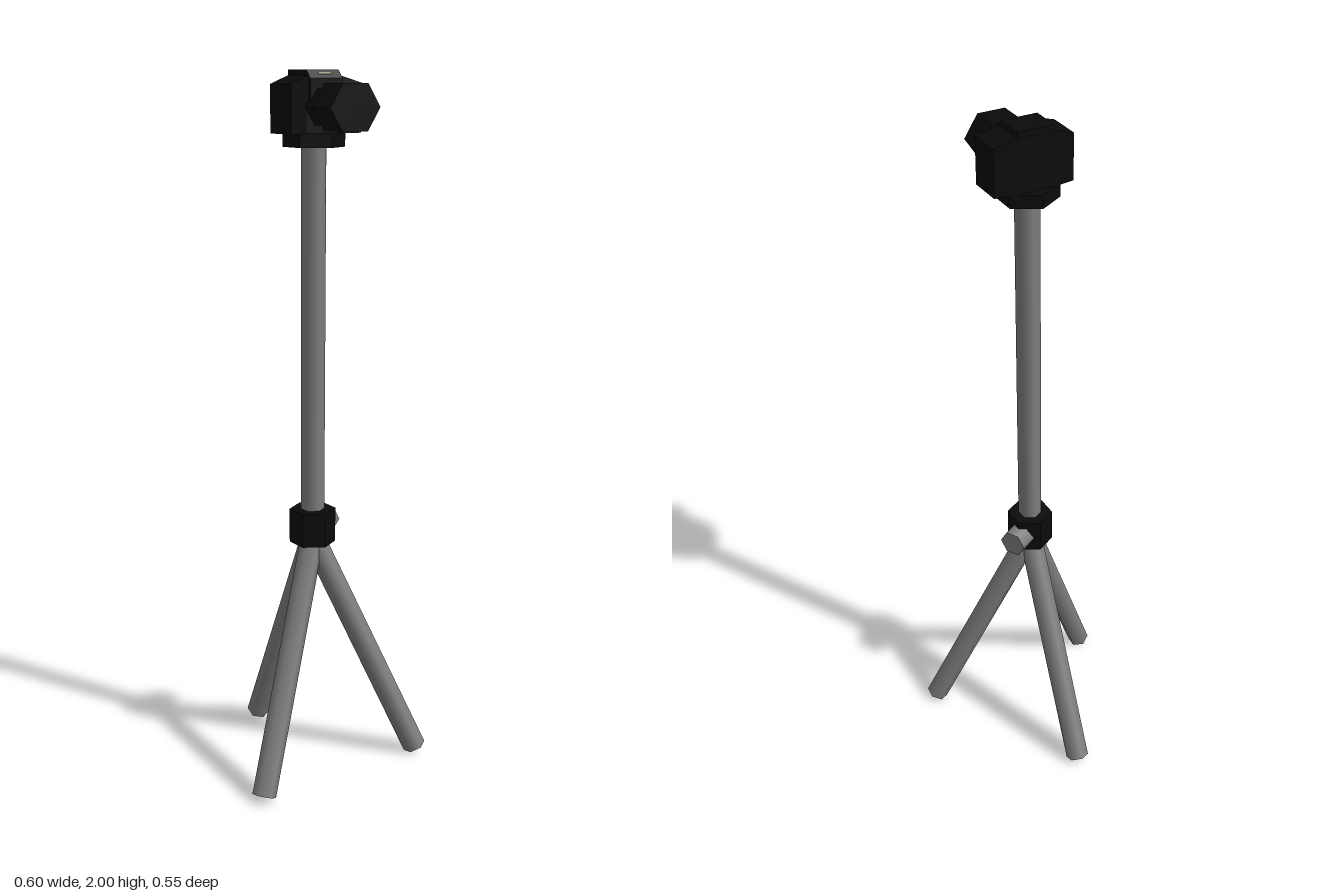
import * as THREE from 'three';

const metal = new THREE.MeshStandardMaterial({ color: 0x808080 });
const black = new THREE.MeshStandardMaterial({ color: 0x0b0b0b, flatShading: true });
const pale = new THREE.MeshStandardMaterial({ color: 0xf0f0c8, flatShading: true });

function add(parent, name, geometry, material, x = 0, y = 0, z = 0) {
  const mesh = new THREE.Mesh(geometry, material);
  mesh.name = name;
  mesh.position.set(x, y, z);
  parent.add(mesh);
  return mesh;
}

// Six-sided cylinder with corners pointing along z
const hex = (r, h) => new THREE.CylinderGeometry(r, r, h, 6);

// Solid lofted along x through rectangular sections [x, zBack, zFront, yBottom, yTop]
function loft(sections) {
  const pos = [];
  const index = [];
  for (const [x, zb, zf, y0, y1] of sections) {
    pos.push(x, y0, zb, x, y0, zf, x, y1, zf, x, y1, zb);
  }
  for (let s = 0; s < sections.length - 1; s++) {
    for (let i = 0; i < 4; i++) {
      const a = s * 4 + i, b = s * 4 + (i + 1) % 4;
      index.push(a, b + 4, b, a, a + 4, b + 4);
    }
  }
  const e = (sections.length - 1) * 4;
  index.push(0, 1, 2, 0, 2, 3, e, e + 2, e + 1, e, e + 3, e + 2);
  const g = new THREE.BufferGeometry();
  g.setAttribute('position', new THREE.Float32BufferAttribute(pos, 3));
  g.setIndex(index);
  const flat = g.toNonIndexed();
  flat.computeVertexNormals();
  return flat;
}

// Legs splayed evenly from the collar
function buildLegs(parent) {
  const apex = 0.69, foot = 0.014, spread = 0.312;
  const length = Math.hypot(apex - foot, spread);
  for (const [name, angle] of [['leftLeg', 60], ['rightLeg', -60], ['backLeg', 179]]) {
    const pivot = new THREE.Group();
    pivot.name = name;
    pivot.rotation.y = THREE.MathUtils.degToRad(angle);
    parent.add(pivot);
    const tube = add(pivot, name + 'Tube', hex(0.034, length), metal, 0, (apex + foot) / 2, spread / 2);
    tube.rotation.x = -Math.atan2(spread, apex - foot);
  }
}

function buildCamera(parent) {
  const camera = new THREE.Group();
  camera.name = 'camera';
  parent.add(camera);

  // Body with sloping shoulders
  add(camera, 'cameraBody', loft([
    [-0.112, -0.042, 0.057, 1.835, 1.963],
    [-0.052, -0.052, 0.044, 1.835, 1.984],
    [0.058, -0.052, 0.044, 1.835, 1.984],
    [0.116, -0.042, 0.057, 1.835, 1.966],
  ]), black);

  // Viewfinder hump, chamfered at the front
  const profile = new THREE.Shape([
    [0.051, 1.9], [0.051, 2.0], [-0.036, 2.0], [-0.056, 1.978], [-0.056, 1.9],
  ].map(([z, y]) => new THREE.Vector2(z, y)));
  const hump = new THREE.ExtrudeGeometry(profile, { depth: 0.104, bevelEnabled: false });
  hump.rotateY(Math.PI / 2);
  add(camera, 'viewfinderHump', hump, black, -0.05);

  // Flash window on the chamfer and lamp on the left shoulder
  const flash = add(camera, 'flashWindow', new THREE.BoxGeometry(0.04, 0.006, 0.004), pale, 0.002, 1.99, 0.046);
  flash.rotation.x = -0.74;
  const lamp = add(camera, 'frontLamp', new THREE.CylinderGeometry(0.015, 0.015, 0.02, 8), pale, 0.08, 1.951, 0.05);
  lamp.rotation.x = Math.PI / 2;
  lamp.scale.z = 0.8;

  // Lens barrel and wider front ring, corners pointing sideways
  for (const [name, r, ry, z0, z1] of [
    ['lensBarrel', 0.065, 0.048, 0.03, 0.1],
    ['lensRing', 0.08, 0.061, 0.098, 0.182],
  ]) {
    const g = hex(1, z1 - z0);
    g.rotateX(Math.PI / 2);
    g.rotateZ(Math.PI / 2);
    g.scale(r, ry / Math.cos(Math.PI / 6), 1);
    add(camera, name, g, black, 0.005, 1.905, (z0 + z1) / 2);
  }
}

export function createModel() {
  const model = new THREE.Group();
  model.name = 'cameraOnTripod';
  const stand = new THREE.Group();
  stand.name = 'stand';
  stand.position.set(0.011, 0, 0.067);
  stand.rotation.y = -0.085;
  model.add(stand);

  buildLegs(stand);
  add(stand, 'collar', hex(0.066, 0.1), black, 0, 0.727, 0);
  add(stand, 'pole', hex(0.034, 1.1), metal, 0, 1.26, 0);
  add(stand, 'mountPlate', hex(0.085, 0.037), black, 0, 1.8175, 0);

  // Clamp knob on the side of the collar
  const knobPivot = new THREE.Group();
  knobPivot.name = 'clampKnob';
  knobPivot.rotation.y = Math.PI / 6;
  stand.add(knobPivot);
  add(knobPivot, 'knob', hex(0.04, 0.06), metal, 0.07, 0.721, 0).rotation.z = -Math.PI / 2;

  buildCamera(stand);
  return model;
}
